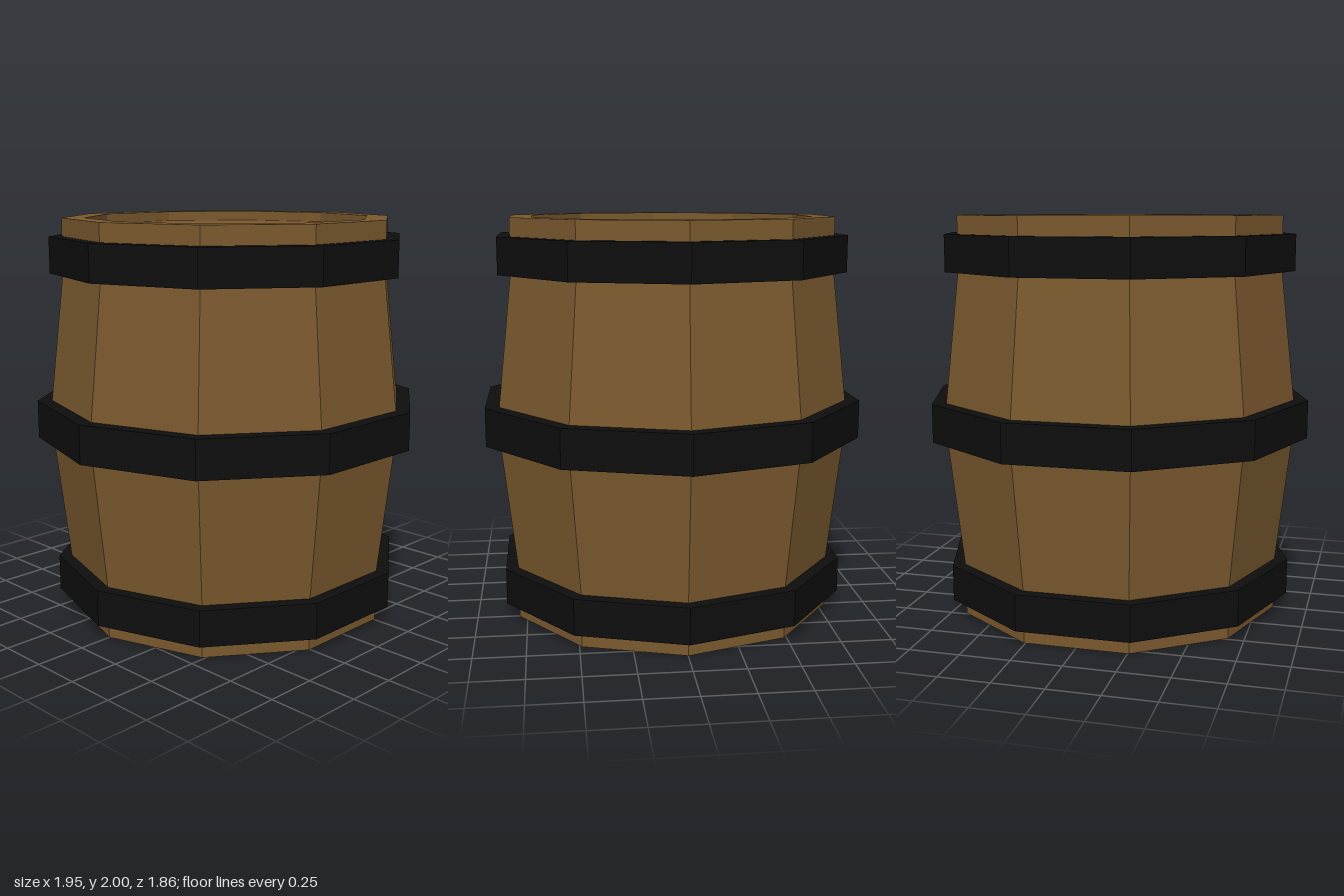
import * as THREE from 'three';

const SIDES = 10;

// Ten-sided turned part with a corner on the x axis; profile is [radius, y] pairs, bottom to top
function turned(name, profile, material) {
  const points = profile.map(([r, y]) => new THREE.Vector2(r, y));
  const mesh = new THREE.Mesh(new THREE.LatheGeometry(points, SIDES, Math.PI / 2), material);
  mesh.name = name;
  return mesh;
}

export function createModel() {
  const wood = new THREE.MeshStandardMaterial({ color: 0x7a592e, flatShading: true });
  const iron = new THREE.MeshStandardMaterial({ color: 0x0e0e0e, flatShading: true });
  const barrel = new THREE.Group();
  barrel.name = 'barrel';

  // Bulging staves with a rim at both ends
  barrel.add(turned('staves', [
    [0.74, 0.05], [0.74, 0], [0.83, 0], [0.83, 0.25], [0.905, 0.91],
    [0.905, 1.09], [0.83, 1.74], [0.83, 2], [0.72, 2], [0.72, 1.95],
  ], wood));

  // Recessed lid and dark underside
  barrel.add(turned('lid', [[0.72, 1.95], [0, 1.95]], wood));
  barrel.add(turned('bottomPlate', [[0, 0.05], [0.74, 0.05]], iron));

  // Hoops: inner radius, outer radius, bottom, top
  const hoops = [
    ['lowerHoop', 0.81, 0.895, 0.08, 0.26],
    ['middleHoop', 0.88, 0.977, 0.9, 1.09],
    ['upperHoop', 0.81, 0.895, 1.73, 1.91],
  ];
  for (const [name, inner, outer, y0, y1] of hoops) {
    barrel.add(turned(name, [[inner, y0], [outer, y0], [outer, y1], [inner, y1], [inner, y0]], iron));
  }

  return barrel;
}
